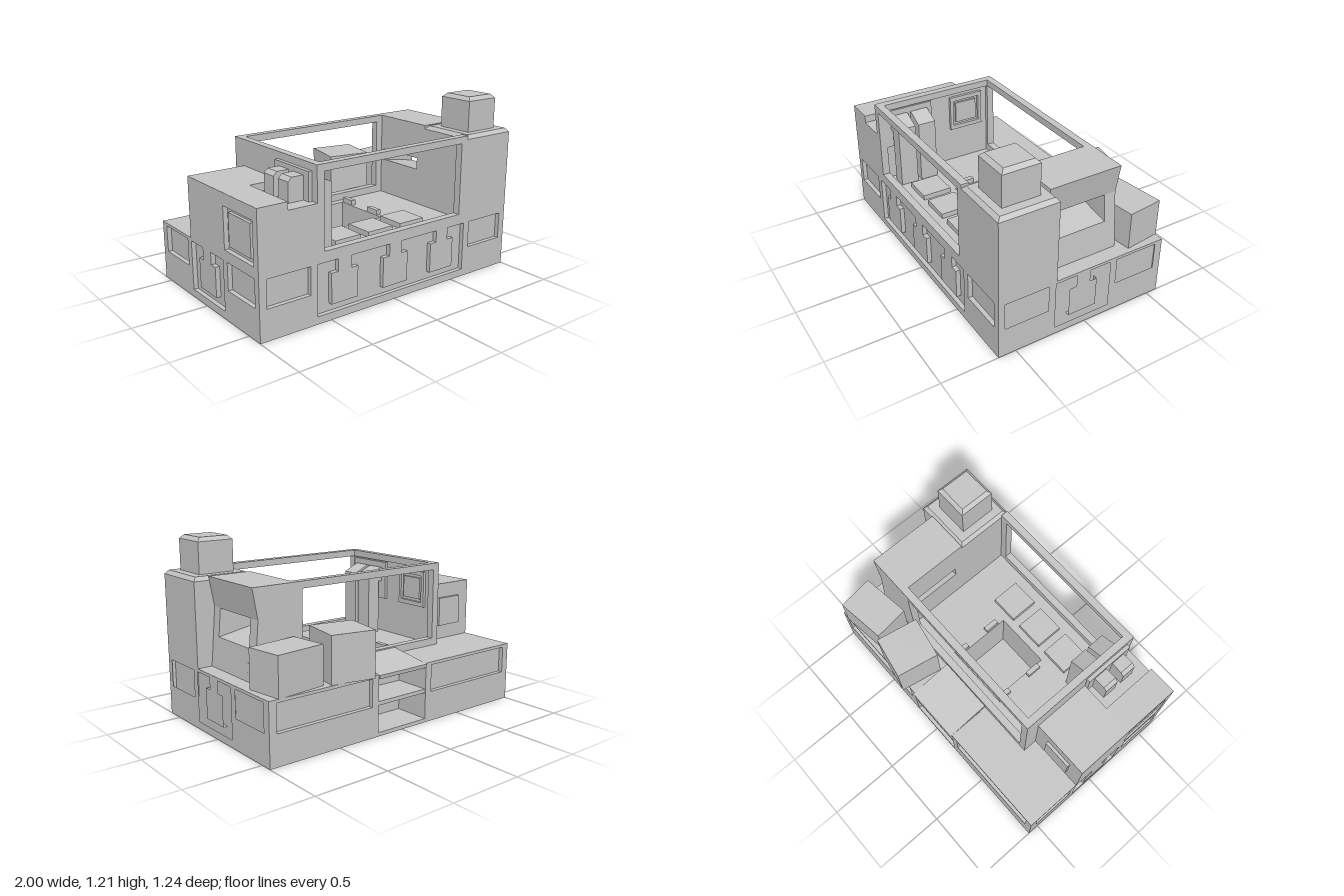
import * as THREE from 'three';

const grey = new THREE.MeshStandardMaterial({ color: 0xc4c4c4 });
grey.name = 'plain grey';

const rect = (x0, x1, y0, y1) => [[x0, y0], [x1, y0], [x1, y1], [x0, y1]];
const toPath = (pts, C = THREE.Path) => new C(pts.map(p => new THREE.Vector2(...p)));

// Recess outline with hanging panels left standing, each joined to the top by a neck
function tabRecess(x0, x1, y0, y1, tabs) {
  const pts = [[x0, y0], [x1, y0], [x1, y1]];
  for (const c of [...tabs].sort((a, b) => b - a)) {
    pts.push([c + 0.05, y1], [c + 0.05, 0.3], [c + 0.1, 0.3], [c + 0.1, 0.1],
      [c - 0.1, 0.1], [c - 0.1, 0.3], [c - 0.05, 0.3], [c - 0.05, y1]);
  }
  pts.push([x0, y1]);
  return pts;
}

export function createModel() {
  const model = new THREE.Group();
  const add = (name, geo) => {
    const m = new THREE.Mesh(geo, grey);
    m.name = name;
    model.add(m);
    return m;
  };
  const box = (name, x0, x1, y0, y1, z0, z1) => {
    const m = add(name, new THREE.BoxGeometry(x1 - x0, y1 - y0, z1 - z0));
    m.position.set((x0 + x1) / 2, (y0 + y1) / 2, (z0 + z1) / 2);
    return m;
  };
  const slab = (outline, depth, holes = []) => {
    const s = toPath(outline, THREE.Shape);
    s.holes = holes.map(h => toPath(h));
    return new THREE.ExtrudeGeometry(s, { depth, bevelEnabled: false });
  };
  const prism = (name, pts, z0, z1) => { add(name, slab(pts, z1 - z0)).position.z = z0; };
  // Box whose top is drawn in by an inset
  const chamferTop = (name, x0, x1, y0, y1, z0, z1, inset) => {
    const m = box(name, x0, x1, y0, y1, z0, z1);
    const p = m.geometry.attributes.position;
    for (let i = 0; i < p.count; i++) {
      if (p.getY(i) > 0) {
        p.setX(i, p.getX(i) - Math.sign(p.getX(i)) * inset);
        p.setZ(i, p.getZ(i) - Math.sign(p.getZ(i)) * inset);
      }
    }
    m.geometry.computeVertexNormals();
  };

  // Base core with the floor well and the rear shelf bay cut out
  const core = slab(
    [[-0.97, -0.59], [0.97, -0.59], [0.97, 0.55], [0.2, 0.55], [0.2, 0.33], [-0.2, 0.33], [-0.2, 0.55], [-0.97, 0.55]],
    0.4, [rect(-0.2, 0.2, -0.24, 0.18)]);
  core.rotateX(-Math.PI / 2);
  add('baseCore', core);
  box('wellFloor', -0.2, 0.2, 0, 0.03, -0.18, 0.24);

  // Base cladding with recessed panels
  const front = add('frontCladding', slab(rect(-1, 1, 0, 0.4), 0.03, [
    rect(-0.95, -0.65, 0.2, 0.38), rect(0.65, 0.95, 0.2, 0.38),
    tabRecess(-0.6, 0.6, 0.05, 0.38, [-0.4, 0, 0.4])]));
  front.position.z = 0.59;
  for (const s of [1, -1]) {
    const flip = pts => pts.map(([z, y]) => [-s * z, y]);
    const side = add('sideCladding', slab(flip(rect(-0.55, 0.59, 0, 0.4)), 0.03, [
      flip(rect(0.275, 0.575, 0.2, 0.38)), flip(rect(-0.525, -0.225, 0.2, 0.38)),
      flip(tabRecess(-0.175, 0.225, 0.05, 0.38, [0.025]))]));
    side.rotation.y = s * Math.PI / 2;
    side.position.x = s * 0.97;
    const x0 = s > 0 ? 0.2 : -1, x1 = s > 0 ? 1 : -0.2;
    const back = add('backCladding', slab(rect(x0, x1, 0, 0.4), 0.03,
      [rect(x0 + 0.05, x1 - 0.05, 0.2, 0.38)]));
    back.position.z = -0.58;
  }

  // Rear shelves and tilted counter
  box('shelfFloor', -0.2, 0.2, 0, 0.025, -0.58, -0.33);
  box('shelf', -0.2, 0.2, 0.2, 0.225, -0.575, -0.33);
  box('counter', -0.2, 0.2, 0.395, 0.42, -0.59, -0.28).rotation.x = -0.15;

  // Open room frame
  for (const [n, z] of [['front', 0.57], ['back', -0.28]]) {
    const frame = slab(rect(-0.6, 0.6, 0.4, 0.975), 0.05, [rect(-0.55, 0.55, 0.45, 0.93)]);
    add(n + 'Frame', frame).position.z = z;
  }
  box('leftWall', -0.6, -0.575, 0.4, 0.975, -0.23, 0.57);
  box('leftWallRail', -0.575, -0.55, 0.93, 0.975, -0.23, 0.57);

  // Framed panel on the left wall
  const wallFrame = add('wallPanelFrame',
    slab(rect(-0.07, 0.18, 0.65, 0.9), 0.02, [rect(-0.045, 0.155, 0.68, 0.87)]));
  wallFrame.rotation.y = Math.PI / 2;
  wallFrame.position.x = -0.575;
  box('wallPanel', -0.575, -0.56, 0.7, 0.85, -0.135, 0.025);

  // Floor fittings
  for (const x of [-0.275, -0.015, 0.25]) box('floorPad', x - 0.1, x + 0.1, 0.4, 0.435, 0.29, 0.49);
  for (const s of [1, -1]) {
    for (const z of [-0.13, 0.14]) box('wellHinge', s * 0.22 - 0.017, s * 0.22 + 0.017, 0.4, 0.435, z - 0.05, z + 0.05);
  }

  // Left block with a notch, recessed side panel and back panel
  box('leftBlock', -0.97, -0.6, 0.4, 0.75, -0.18, 0.62);
  const blockSide = add('leftBlockCladding',
    slab(rect(-0.18, 0.62, 0.4, 0.75), 0.03, [rect(0.25, 0.57, 0.45, 0.72)]));
  blockSide.rotation.y = -Math.PI / 2;
  blockSide.position.x = -0.97;
  box('leftBlockSidePanel', -0.99, -0.97, 0.48, 0.69, 0.29, 0.53);
  box('leftBlockTop', -1, -0.6, 0.75, 0.8, -0.18, 0.22);
  box('leftBlockFrontTop', -1, -0.8, 0.75, 0.8, 0.22, 0.62);
  box('leftBlockBackPanel', -0.9, -0.7, 0.5, 0.7, -0.2, -0.18);

  // Twin ducts passing through the left wall
  box('ductFlange', -0.625, -0.6, 0.75, 0.93, 0.22, 0.57);
  box('ductInnerFlange', -0.575, -0.555, 0.65, 0.92, 0.22, 0.57);
  for (const z of [0.32, 0.47]) {
    prism('outerDuct', [[-0.73, 0.75], [-0.62, 0.75], [-0.62, 0.9], [-0.705, 0.9], [-0.73, 0.875]], z - 0.05, z + 0.05);
    prism('innerDuct', [[-0.575, 0.78], [-0.525, 0.78], [-0.525, 0.4], [-0.43, 0.4], [-0.43, 0.83], [-0.54, 0.88], [-0.575, 0.88]],
      z - 0.062, z + 0.062);
  }

  // Corner tower, cap and chimney
  box('tower', 0.6, 1, 0.4, 0.95, 0.22, 0.62);
  chamferTop('towerCap', 0.6, 1, 0.95, 0.975, 0.22, 0.62, 0.022);
  box('chimney', 0.675, 0.92, 0.97, 1.18, 0.3, 0.55);
  chamferTop('chimneyCap', 0.675, 0.92, 1.18, 1.205, 0.3, 0.55, 0.024);

  // Right wall with waisted outside and a tapering window
  const wall = [[0.6, 0.4], [0.9, 0.4], [0.865, 0.78], [0.9, 0.975], [0.6, 0.975]];
  prism('rightWallBack', wall, -0.28, -0.2);
  prism('rightWallFront', wall, 0.15, 0.22);
  prism('windowSill', [[0.6, 0.4], [0.9, 0.4], [0.882, 0.6], [0.6, 0.65]], -0.2, 0.15);
  prism('windowHead', [[0.6, 0.73], [0.865, 0.78], [0.9, 0.975], [0.6, 0.975]], -0.2, 0.15);

  // Crates behind the room
  box('tallCrate', 0.237, 0.533, 0.4, 0.7, -0.6, -0.305).rotation.y = -0.187;
  box('wideCrate', 0.608, 0.953, 0.4, 0.65, -0.563, -0.313).rotation.y = 0.128;

  return model;
}
